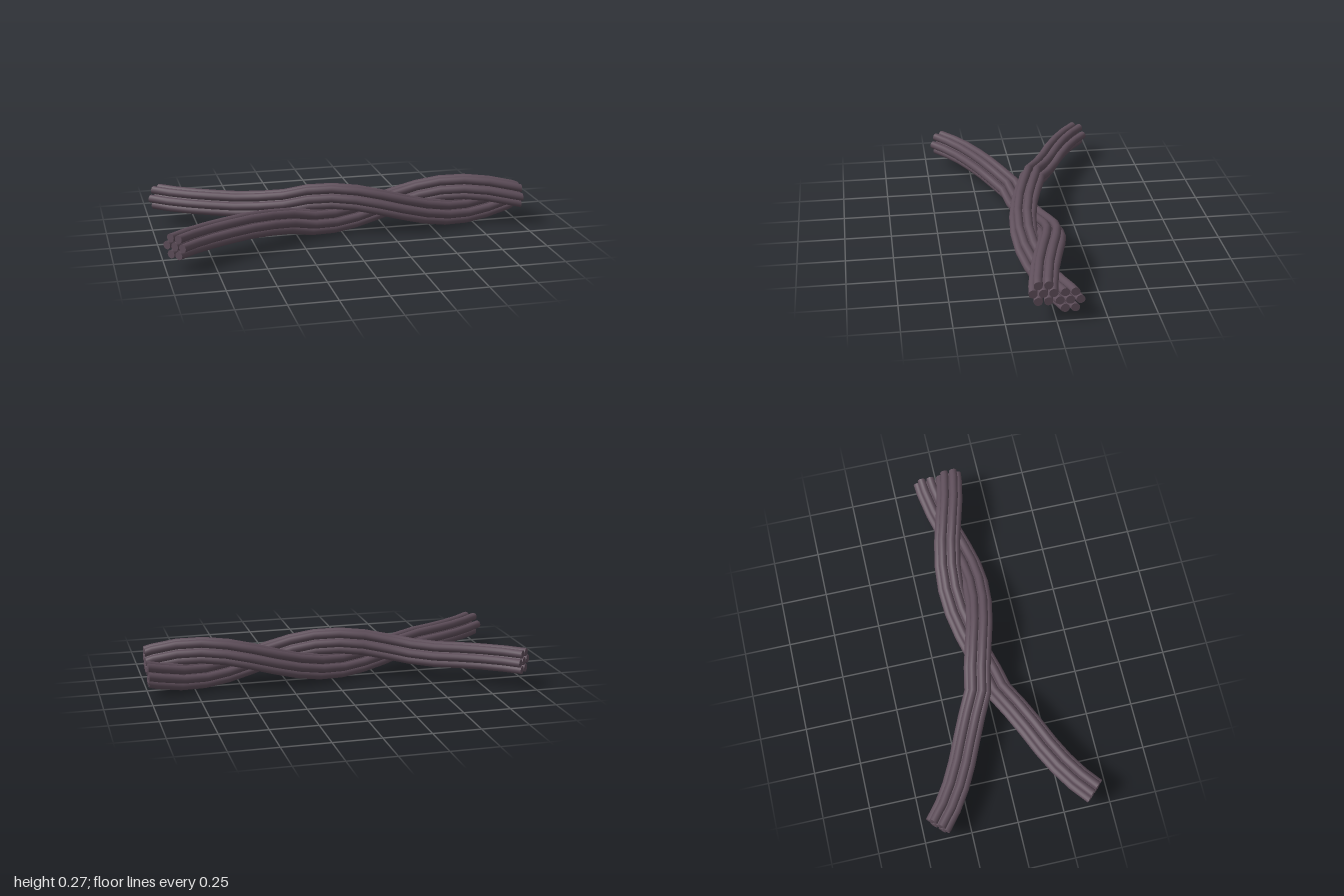
import * as THREE from 'three';

const CENTRE_Y = 0.135;      // height of the twist axis
const HELIX_R = 0.069;       // bundle centre to twist axis
const HALF_TURN = 0.75;      // length of half a twist
const STRAND_R = 0.022;
const SPACING = 0.05;        // between neighbouring strands
const SIDES = 14;

// Centre line of one bundle: a curved free end that runs into a helix
function bundlePath() {
  const points = [
    [-0.955, 0.006, -0.42], [-0.87, 0.006, -0.35], [-0.77, 0.006, -0.285], [-0.66, 0.006, -0.228],
    [-0.54, 0.006, -0.175], [-0.42, 0.016, -0.12],
  ].map((p) => new THREE.Vector3(...p));
  for (let i = 0; i <= 11; i++) {
    const x = Math.min(-0.3 + i * 0.125, 1);
    const phi = (Math.PI * (x + 0.05)) / HALF_TURN;
    points.push(new THREE.Vector3(x, HELIX_R * Math.cos(phi), HELIX_R * Math.sin(phi)));
  }
  return points;
}

// Upright frame at each station; the twisted end is cut square to x
function pathFrames(points) {
  const last = points.length - 1;
  return points.map((p, i) => {
    const t = points[Math.min(i + 1, last)].clone().sub(points[Math.max(i - 1, 0)]).normalize();
    if (i === 0) t.set(0.72, 0, 0.69).normalize();
    if (i === last) t.set(1, 0, 0);
    const side = t.clone().cross(new THREE.Vector3(0, 1, 0)).normalize();
    const up = side.clone().cross(t).normalize();
    return { p, side, up };
  });
}

// Round strand running beside the bundle path, with flat end caps
function strandGeometry(frames, offSide, offUp) {
  const pos = [];
  const index = [];
  const put = (f, s, u) => {
    const v = f.p.clone().addScaledVector(f.side, s).addScaledVector(f.up, u);
    pos.push(v.x, v.y, v.z);
  };
  const ring = (f) => {
    for (let j = 0; j < SIDES; j++) {
      const a = (j / SIDES) * Math.PI * 2;
      put(f, offSide + STRAND_R * Math.cos(a), offUp + STRAND_R * Math.sin(a));
    }
  };
  frames.forEach(ring);
  for (let i = 0; i < frames.length - 1; i++) {
    for (let j = 0; j < SIDES; j++) {
      const a = i * SIDES + j;
      const b = i * SIDES + ((j + 1) % SIDES);
      index.push(a, a + SIDES, b, b, a + SIDES, b + SIDES);
    }
  }
  [frames[0], frames[frames.length - 1]].forEach((f, end) => {
    const start = pos.length / 3;
    ring(f);
    put(f, offSide, offUp);
    for (let j = 0; j < SIDES; j++) {
      const a = start + j;
      const b = start + ((j + 1) % SIDES);
      index.push(start + SIDES, end ? b : a, end ? a : b);
    }
  });
  const geo = new THREE.BufferGeometry();
  geo.setAttribute('position', new THREE.Float32BufferAttribute(pos, 3));
  geo.setIndex(index);
  geo.computeVertexNormals();
  return geo;
}

export function createModel() {
  const model = new THREE.Group();
  model.name = 'twistedCable';
  const material = new THREE.MeshStandardMaterial({ color: 0x5e4e5a });
  const frames = pathFrames(bundlePath());

  // One core strand with six around it
  const strands = [strandGeometry(frames, 0, 0)];
  for (let k = 0; k < 6; k++) {
    const a = (k * Math.PI) / 3;
    strands.push(strandGeometry(frames, SPACING * Math.cos(a), SPACING * Math.sin(a)));
  }

  // The second bundle is the first turned half round the twist axis
  ['backBundle', 'frontBundle'].forEach((name, i) => {
    const bundle = new THREE.Group();
    bundle.name = name;
    strands.forEach((geo, k) => {
      const mesh = new THREE.Mesh(geo, material);
      mesh.name = k === 0 ? 'coreStrand' : `outerStrand${k}`;
      bundle.add(mesh);
    });
    bundle.rotation.x = i * Math.PI;
    bundle.position.y = CENTRE_Y;
    model.add(bundle);
  });
  return model;
}
